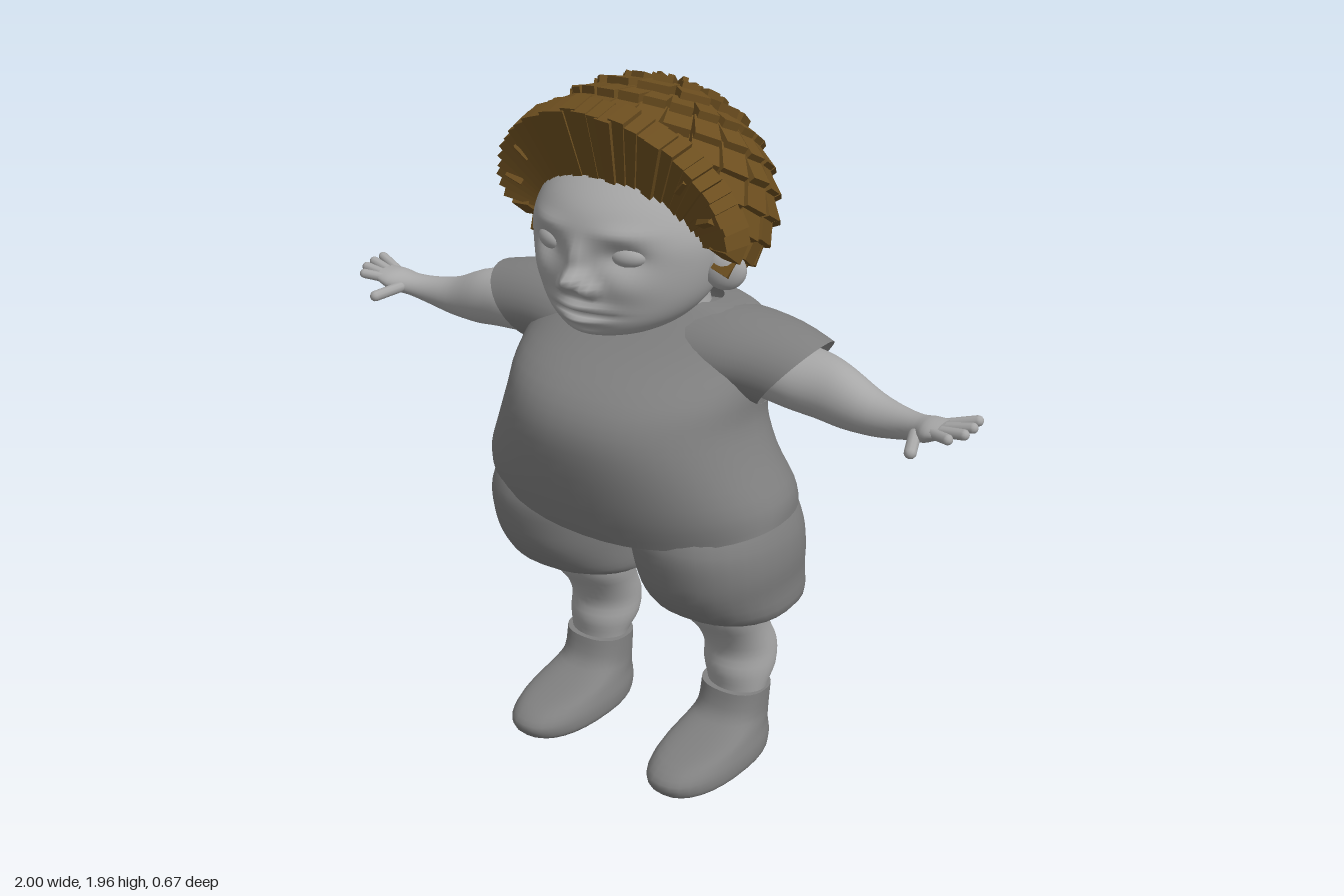
import * as THREE from 'three';

const skin = new THREE.MeshStandardMaterial({ color: 0xa8a8a8, side: THREE.DoubleSide });
const cloth = new THREE.MeshStandardMaterial({ color: 0x808080, side: THREE.DoubleSide });
const brown = new THREE.MeshStandardMaterial({ color: 0x6c4e1f });
const V = (x, y, z) => new THREE.Vector3(x, y, z);

function add(parent, name, geometry, material) {
  const mesh = new THREE.Mesh(geometry, material);
  mesh.name = name;
  parent.add(mesh);
  return mesh;
}

// Smooth interpolation between neighbouring cross-sections; missing values count as 0
function refine(rings, sub) {
  const full = rings.map((r) => Array.from({ length: 8 }, (_, n) => r[n] ?? 0));
  const at = (i) => full[Math.min(full.length - 1, Math.max(0, i))];
  const out = [];
  for (let i = 0; i < full.length - 1; i++) {
    for (let k = 0; k < sub; k++) {
      const t = k / sub;
      out.push(at(i).map((b, n) => {
        const a = at(i - 1)[n], c = at(i + 1)[n], d = at(i + 2)[n];
        return b + 0.5 * t * (c - a + t * (2 * a - 5 * b + 4 * c - d + t * (3 * (b - c) + d - a)));
      }));
    }
  }
  out.push(at(full.length - 1));
  return out;
}

// Skin a series of rings; place(ring, angle) gives a point
function loft(rings, place, { seg = 32, sub = 3, caps = true } = {}) {
  const rows = refine(rings, sub), pos = [], idx = [];
  rows.forEach((r) => {
    for (let i = 0; i < seg; i++) pos.push(...place(r, (i / seg) * Math.PI * 2));
  });
  for (let j = 0; j < rows.length - 1; j++) {
    for (let i = 0; i < seg; i++) {
      const a = j * seg + i, b = j * seg + (i + 1) % seg;
      idx.push(a, a + seg, b, b, a + seg, b + seg);
    }
  }
  if (caps) [0, rows.length - 1].forEach((j) => {
    const base = pos.length / 3, c = [0, 0, 0];
    for (let i = 0; i < seg; i++) {
      const p = place(rows[j], (i / seg) * Math.PI * 2);
      p.forEach((v, n) => { c[n] += v / seg; });
      pos.push(...p);
    }
    pos.push(...c);
    for (let i = 0; i < seg; i++) {
      const a = base + i, b = base + (i + 1) % seg;
      idx.push(base + seg, ...(j ? [b, a] : [a, b]));
    }
  });
  const g = new THREE.BufferGeometry();
  g.setAttribute('position', new THREE.Float32BufferAttribute(pos, 3));
  g.setIndex(idx);
  g.computeVertexNormals();
  return g;
}

const pow = (v, e) => Math.sign(v) * Math.abs(v) ** e;

// Upright ring: [y, centre x, centre z, half width, front z, back z, front lift, back lift]
const upright = (e = 1) => ([y, cx, cz, rx, zf, zb, df, db], a) => {
  const c = pow(Math.cos(a), e), s = pow(Math.sin(a), e);
  return [cx + rx * c, y + (s > 0 ? df : db) * s * s, cz + s * (s > 0 ? zf - cz : cz - zb)];
};

// Sideways ring: [x, centre y, centre z, half height, half depth, slant]
const sideways = ([x, cy, cz, ry, rz, k], a) =>
  [x + k * ry * Math.cos(a), cy + ry * Math.cos(a), cz - rz * Math.sin(a)];

// Face relief: [x, y, width, height, push along z], mirrored about x = 0
const relief = [
  [0, 1.498, 0.034, 0.026, 0.062], [0, 1.55, 0.024, 0.04, 0.025], [0.042, 1.475, 0.02, 0.018, 0.034],
  [0.122, 1.565, 0.055, 0.03, -0.03], [0.12, 1.625, 0.07, 0.02, 0.012], [0.14, 1.49, 0.06, 0.04, 0.014],
  [0, 1.424, 0.07, 0.013, 0.024], [0, 1.405, 0.085, 0.006, -0.016], [0, 1.387, 0.06, 0.012, 0.02],
  [0, 1.35, 0.06, 0.015, 0.008],
];

function headGeometry() {
  const base = upright();
  const rings = [
    [1.335, 0, 0.18, 0.05, 0.22, 0.14], [1.35, 0, 0.12, 0.135, 0.245, 0.06, 0, 0.02],
    [1.39, 0, 0.08, 0.2, 0.262, -0.03, 0, 0.02], [1.45, 0, 0.05, 0.245, 0.267, -0.12],
    [1.53, 0, 0.04, 0.268, 0.268, -0.2], [1.6, 0, 0.03, 0.272, 0.27, -0.22],
    [1.67, 0, 0.01, 0.255, 0.245, -0.22], [1.74, 0, -0.01, 0.225, 0.175, -0.22],
    [1.82, 0, -0.04, 0.16, 0.06, -0.18], [1.86, 0, -0.05, 0.02, -0.02, -0.1],
  ];
  return loft(rings, (r, a) => {
    const p = base(r, a);
    if (Math.sin(a) > 0) relief.forEach(([x, y, w, h, d]) => {
      (x ? [x, -x] : [x]).forEach((cx) => {
        p[2] += d * Math.sin(a) * Math.exp(-(((p[0] - cx) / w) ** 2) - ((p[1] - y) / h) ** 2);
      });
    });
    return p;
  }, { seg: 96, sub: 7 });
}

// Block lying along `down`, facing `out`; its near end can be narrower
function block(parent, name, centre, out, down, w, t, len, taper) {
  const g = new THREE.BoxGeometry(w, t, len);
  const p = g.attributes.position;
  for (let i = 0; i < p.count; i++) if (p.getZ(i) < 0) p.setX(i, p.getX(i) * taper);
  const z = down.clone().normalize();
  const x = out.clone().cross(z).normalize();
  const m = add(parent, name, g, brown);
  m.quaternion.setFromRotationMatrix(new THREE.Matrix4().makeBasis(x, z.clone().cross(x), z));
  m.position.copy(centre);
}

function hair() {
  const group = new THREE.Group();
  group.name = 'hair';
  const scalp = add(group, 'scalp', new THREE.SphereGeometry(1, 32, 20), brown);
  scalp.scale.set(0.31, 0.24, 0.2);
  scalp.position.set(0, 1.67, -0.07);

  // Locks in aligned columns, ring by ring around a crown that leans back
  const point = (th, ph) => {
    const d = V(Math.sin(th) * Math.cos(ph), Math.cos(th), Math.sin(th) * Math.sin(ph));
    d.applyAxisAngle(V(1, 0, 0), -0.5);
    return V(d.x * 0.335, 1.64 + d.y * (d.y > 0 ? 0.285 : 0.235), -0.02 + d.z * (d.z > 0 ? 0.33 : 0.262));
  };
  const noise = (n) => Math.abs(Math.sin(n * 12.9898) * 43758.5453) % 1;
  for (let r = 0; r < 10; r++) {
    const th = 0.1 + r * 0.215, n = r < 3 ? 12 : 24;
    for (let i = 0; i < n; i++) {
      const ph = ((i + 0.5) / n) * Math.PI * 2;
      const p = point(th, ph);
      if (p.z > 0.075 + (p.y - 1.58) * 0.3 || p.y < 1.51 + 0.4 * p.z) continue;
      const down = point(th + 0.05, ph).sub(point(th - 0.05, ph)).normalize();
      const around = point(th, ph + 0.05).sub(point(th, ph - 0.05));
      const out = down.clone().cross(around).normalize();
      if (out.dot(p.clone().sub(V(0, 1.64, -0.02))) < 0) out.negate();
      const w = point(th, ph + Math.PI / n).distanceTo(point(th, ph - Math.PI / n));
      down.addScaledVector(out, 0.2 + 0.15 * noise(r * 31 + i));
      block(group, 'lock', p, out, down, w, 0.05, 0.085, 0.92);
    }
  }

  // Fringe of plates radiating from the face
  for (let i = 0; i < 30; i++) {
    const a = 0.06 + (i / 29) * (Math.PI - 0.12), c = Math.cos(a), s = Math.sin(a);
    const inner = V(0.25 * c, 1.59 + 0.135 * s, 0.06 + 0.09 * s);
    const outer = V(0.365 * c, 1.61 + 0.31 * s + 0.012 * noise(i), 0.1 + 0.11 * s);
    const dir = outer.clone().sub(inner);
    block(group, 'fringe', inner.clone().add(outer).multiplyScalar(0.5).add(V(0, 0, -0.02 + 0.012 * noise(i + 3))),
      V(0, 0, 1), dir, 0.047, 0.075, dir.length(), 0.6);
  }
  return group;
}

function finger(parent, name, from, to, r) {
  const d = to.clone().sub(from);
  const m = add(parent, name, new THREE.CapsuleGeometry(r, d.length() - r, 4, 10), skin);
  m.position.copy(from).addScaledVector(d, 0.5);
  m.quaternion.setFromUnitVectors(V(0, 1, 0), d.normalize());
}

// Everything that exists once on each side, built for the left
function sideParts() {
  const g = new THREE.Group();
  add(g, 'sleeve', loft([
    [0.1, 1.24, -0.08, 0.12, 0.165, 0], [0.25, 1.25, -0.085, 0.122, 0.165, 0.1],
    [0.36, 1.25, -0.08, 0.112, 0.145, 0.5], [0.45, 1.24, -0.065, 0.1, 0.12, 0.85],
  ], sideways, { caps: false }), cloth);
  add(g, 'arm', loft([
    [0.3, 1.25, -0.07, 0.085, 0.1], [0.45, 1.232, -0.07, 0.085, 0.1], [0.54, 1.225, -0.065, 0.085, 0.085],
    [0.61, 1.215, -0.055, 0.08, 0.07], [0.7, 1.197, -0.05, 0.058, 0.055], [0.78, 1.2, -0.035, 0.042, 0.042],
    [0.84, 1.212, -0.015, 0.032, 0.042], [0.88, 1.225, 0.005, 0.03, 0.055], [0.92, 1.237, 0.012, 0.02, 0.05],
  ], sideways), skin);
  [[-0.02, 0.99, -0.04], [0.002, 0.994, -0.005], [0.024, 0.99, 0.032], [0.042, 0.965, 0.07]].forEach(([z, x, tz], i) =>
    finger(g, 'finger', V(0.9, 1.235, z), V(x, 1.262 - 0.006 * i, tz), 0.014));
  finger(g, 'thumb', V(0.85, 1.215, 0.025), V(0.885, 1.2, 0.112), 0.016);

  add(g, 'shortsLeg', loft([
    [0.512, 0.232, -0.08, 0.185, 0.085, -0.265, 0, 0.02], [0.54, 0.247, -0.07, 0.207, 0.14, -0.288],
    [0.62, 0.248, -0.05, 0.212, 0.2, -0.28], [0.7, 0.248, -0.04, 0.222, 0.225, -0.265],
    [0.78, 0.24, -0.04, 0.225, 0.232, -0.25], [0.86, 0.22, -0.04, 0.22, 0.2, -0.23],
  ], upright(0.9)), cloth);
  add(g, 'leg', loft([
    [0.15, 0.25, -0.13, 0.08, -0.06, -0.2], [0.21, 0.25, -0.13, 0.09, -0.06, -0.21],
    [0.27, 0.245, -0.15, 0.105, -0.05, -0.25], [0.33, 0.242, -0.15, 0.105, -0.055, -0.26],
    [0.4, 0.236, -0.12, 0.108, -0.02, -0.225], [0.47, 0.232, -0.09, 0.117, 0.04, -0.21],
    [0.58, 0.235, -0.07, 0.13, 0.1, -0.23],
  ], upright()), skin);
  add(g, 'boot', loft([
    [0, 0.245, -0.02, 0.112, 0.215, -0.2], [0.015, 0.247, -0.02, 0.121, 0.235, -0.215],
    [0.05, 0.247, -0.03, 0.121, 0.243, -0.222], [0.085, 0.247, -0.05, 0.112, 0.19, -0.218],
    [0.11, 0.247, -0.09, 0.105, 0.06, -0.212], [0.14, 0.247, -0.12, 0.1, -0.02, -0.208],
    [0.21, 0.248, -0.13, 0.1, -0.045, -0.212],
  ], upright(0.85)), cloth);

  const ear = add(g, 'ear', new THREE.SphereGeometry(1, 20, 14), skin);
  ear.scale.set(0.055, 0.052, 0.028);
  ear.position.set(0.293, 1.515, 0.035);
  ear.rotation.set(0, 0.4, 0.3);
  const eye = add(g, 'eye', new THREE.SphereGeometry(1, 24, 16), skin);
  eye.scale.set(0.052, 0.03, 0.032);
  eye.position.set(0.122, 1.565, 0.208);
  eye.rotation.set(0, 0.3, 0.08);
  return g;
}

export function createModel() {
  const model = new THREE.Group();
  model.name = 'child';

  // Loose shirt with a hem dipping at the front
  add(model, 'shirt', loft([
    [0.84, 0, 0.02, 0.47, 0.262, -0.335, -0.075, -0.02], [0.9, 0, 0, 0.462, 0.3, -0.285, -0.035, 0],
    [1.0, 0, 0, 0.41, 0.33, -0.243], [1.1, 0, 0, 0.372, 0.328, -0.243], [1.18, 0, -0.02, 0.37, 0.275, -0.25],
    [1.26, 0, -0.06, 0.365, 0.15, -0.255], [1.33, 0, -0.08, 0.345, 0.05, -0.25],
    [1.365, 0, -0.09, 0.28, 0.0, -0.235], [1.375, 0, -0.09, 0.19, -0.01, -0.2],
  ], upright(0.93), { seg: 48, caps: false }), cloth);
  add(model, 'shortsSeat', loft([
    [0.68, 0, -0.05, 0.1, 0.1, -0.17], [0.72, 0, -0.05, 0.25, 0.17, -0.22],
    [0.8, 0, -0.04, 0.4, 0.22, -0.245], [0.9, 0, -0.02, 0.42, 0.23, -0.23],
  ], upright()), cloth);
  add(model, 'neck', loft([
    [1.28, 0, -0.07, 0.19, 0.05, -0.2], [1.38, 0, -0.06, 0.165, 0.06, -0.175], [1.5, 0, -0.06, 0.16, 0.06, -0.17],
  ], upright()), skin);
  add(model, 'head', headGeometry(), skin);
  model.add(hair());

  const left = sideParts();
  left.name = 'leftSide';
  const right = left.clone();
  right.name = 'rightSide';
  right.scale.x = -1;
  model.add(left, right);
  return model;
}
